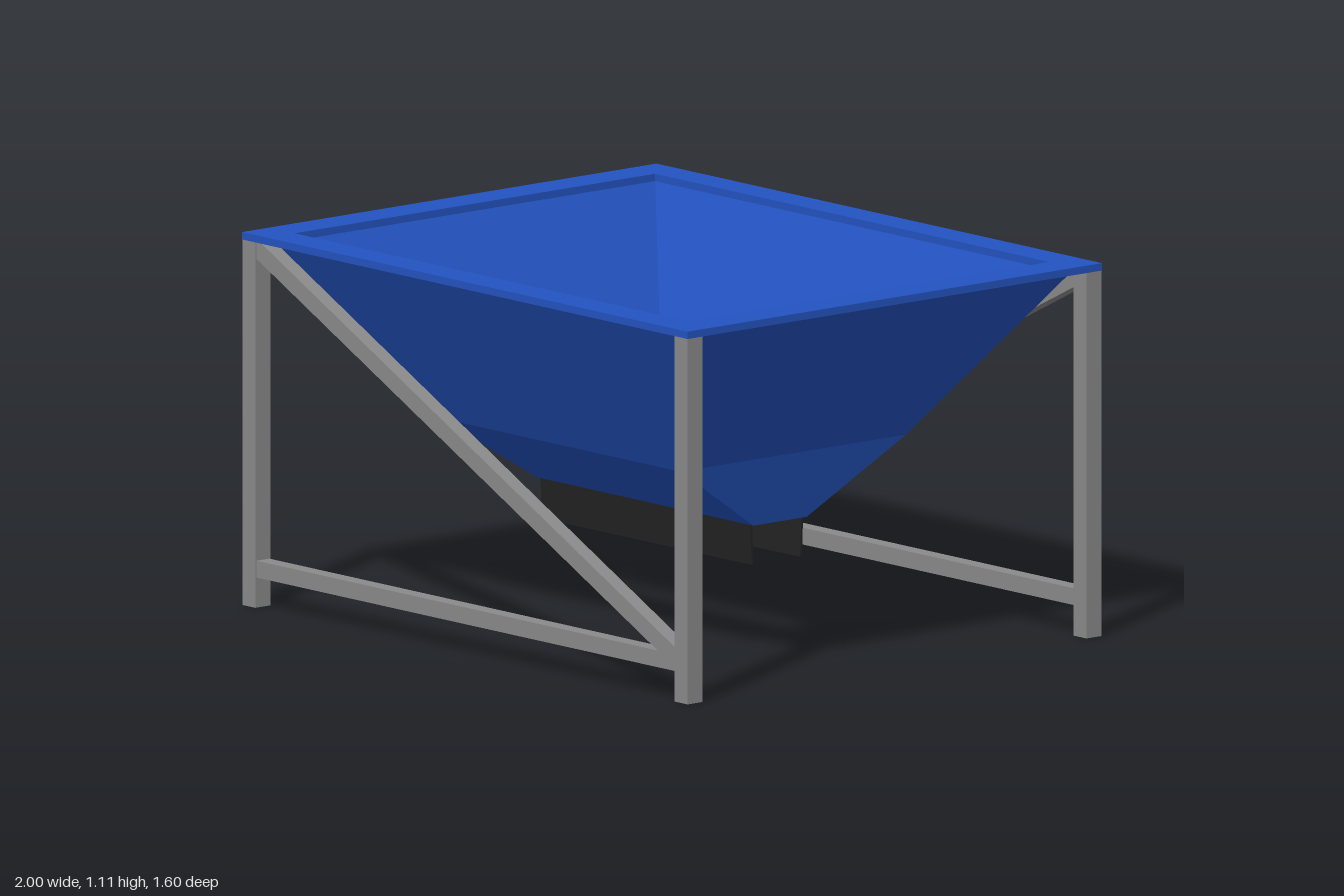
import * as THREE from 'three';

const blue = new THREE.MeshStandardMaterial({ color: 0x2353c0 });
blue.name = 'blue paint';
const steel = new THREE.MeshStandardMaterial({ color: 0x8a8a8a });
steel.name = 'grey steel';
const rubber = new THREE.MeshStandardMaterial({ color: 0x222222 });
rubber.name = 'black rubber';

function add(parent, name, geometry, material, x = 0, y = 0, z = 0) {
  const mesh = new THREE.Mesh(geometry, material);
  mesh.name = name;
  mesh.position.set(x, y, z);
  parent.add(mesh);
  return mesh;
}

function polygon(points) {
  return new THREE.Shape(points.map(([x, y]) => new THREE.Vector2(x, y)));
}

// Flat-sided skin through rectangular sections [halfX, y, halfZ]
function rectangularLoft(sections) {
  const corners = ([x, y, z]) => [[x, y, z], [x, y, -z], [-x, y, -z], [-x, y, z]];
  const positions = [];
  for (let s = 0; s < sections.length - 1; s++) {
    const lower = corners(sections[s]);
    const upper = corners(sections[s + 1]);
    for (let i = 0; i < 4; i++) {
      const j = (i + 1) % 4;
      for (const p of [lower[i], lower[j], upper[j], lower[i], upper[j], upper[i]]) positions.push(...p);
    }
  }
  const geometry = new THREE.BufferGeometry();
  geometry.setAttribute('position', new THREE.Float32BufferAttribute(positions, 3));
  geometry.computeVertexNormals();
  return geometry;
}

export function createModel() {
  const model = new THREE.Group();
  model.name = 'hopper';

  // Flat rim around the mouth
  const rimShape = polygon([[-1, -0.8], [1, -0.8], [1, 0.8], [-1, 0.8]]);
  rimShape.holes.push(polygon([[-0.885, -0.695], [-0.885, 0.695], [0.885, 0.695], [0.885, -0.695]]));
  const rimGeometry = new THREE.ExtrudeGeometry(rimShape, { depth: 0.022, bevelEnabled: false });
  rimGeometry.rotateX(-Math.PI / 2);
  add(model, 'rim', rimGeometry, blue, 0, 1.09, 0);

  // Tub: up the outside, over the top edge, down the inside
  add(model, 'tub', rectangularLoft([
    [0.485, 0.368, 0.103],
    [0.545, 0.58, 0.435],
    [0.938, 1.09, 0.742],
    [0.895, 1.09, 0.705],
    [0.508, 0.585, 0.396],
    [0.475, 0.37, 0.095],
    [0.485, 0.368, 0.103],
  ]), blue);

  // Rubber skirt: two long flaps and one end flap, other end open
  const skirt = new THREE.Group();
  skirt.name = 'outletSkirt';
  model.add(skirt);
  for (const side of [1, -1]) {
    const flap = add(skirt, 'sideFlap', new THREE.BoxGeometry(0.94, 0.12, 0.007), rubber, 0, 0.308, side * 0.096);
    flap.rotation.x = side * 0.04;
  }
  const endFlap = add(skirt, 'endFlap', new THREE.BoxGeometry(0.007, 0.12, 0.185), rubber, -0.477, 0.308, 0);
  endFlap.rotation.z = 0.04;

  // Front and back frames, the back one turned half round
  const braceShape = polygon([
    [-0.94, 1.09], [-0.92, 1.09], [0.94, 0.16], [0.94, 0.14], [0.86, 0.14], [-0.94, 1.04],
  ]);
  const braceGeometry = new THREE.ExtrudeGeometry(braceShape, { depth: 0.05, bevelEnabled: false });
  for (const name of ['frontFrame', 'backFrame']) {
    const frame = new THREE.Group();
    frame.name = name;
    if (name === 'backFrame') frame.rotation.y = Math.PI;
    for (const side of [1, -1]) {
      add(frame, 'leg', new THREE.BoxGeometry(0.058, 1.09, 0.058), steel, side * 0.97, 0.545, 0.77);
    }
    add(frame, 'crossbar', new THREE.BoxGeometry(1.884, 0.05, 0.05), steel, 0, 0.115, 0.77);
    add(frame, 'brace', braceGeometry, steel, 0, 0, 0.745);
    model.add(frame);
  }

  return model;
}
